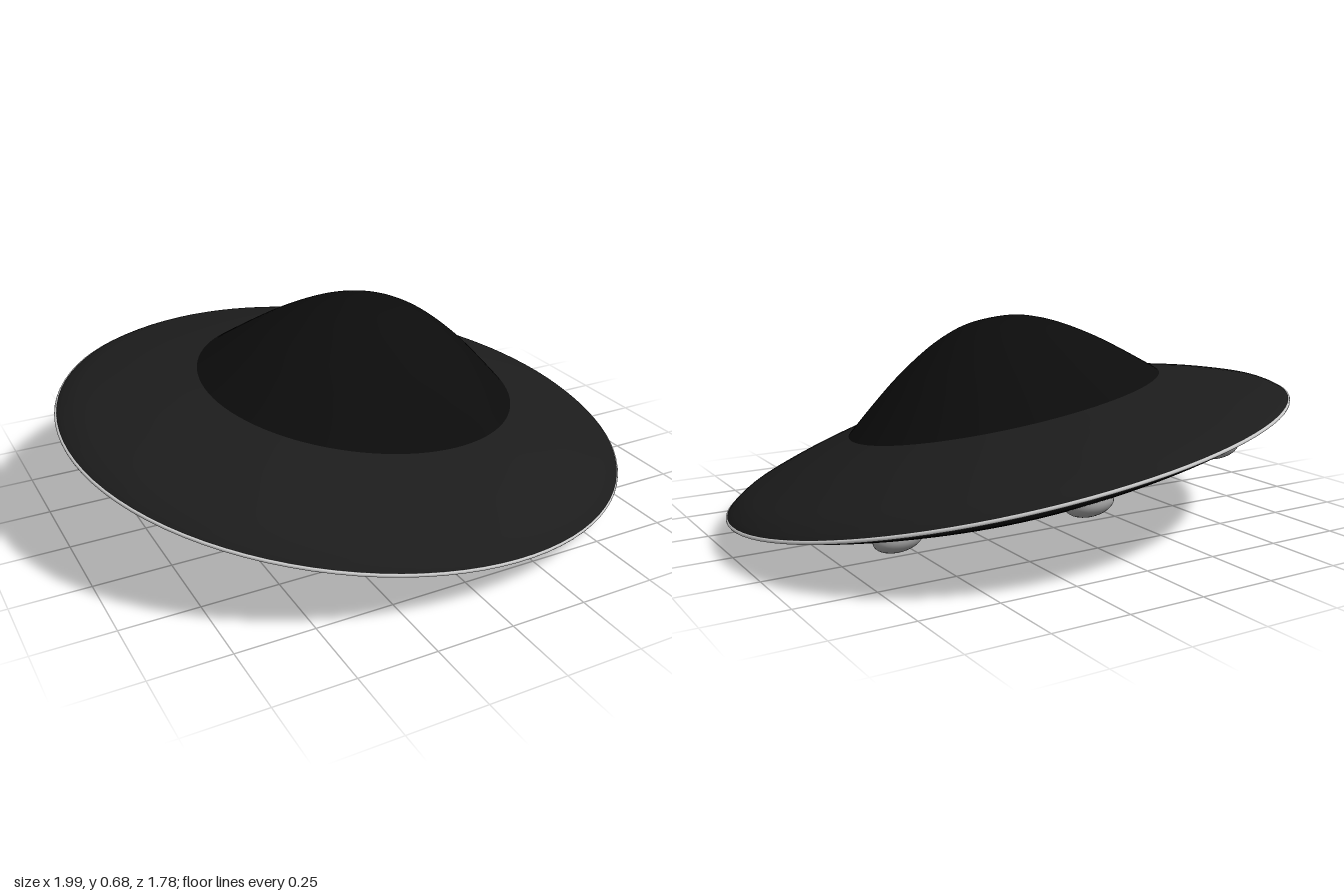
import * as THREE from 'three';

const SEGMENTS = 96;
const paint = (color) => new THREE.MeshStandardMaterial({ color, side: THREE.DoubleSide });

// Revolve a profile (listed bottom to top); smooth profiles pass through a spline.
function revolve(name, profile, material, smooth = true) {
  let points = profile.map(([r, h]) => new THREE.Vector2(r, h));
  if (smooth) {
    points = new THREE.SplineCurve(points).getPoints(28);
    points.forEach((p) => { p.x = Math.max(p.x, 0); });
  }
  const mesh = new THREE.Mesh(new THREE.LatheGeometry(points, SEGMENTS), material);
  mesh.name = name;
  return mesh;
}

export function createModel() {
  const model = new THREE.Group();
  model.name = 'flyingSaucer';
  const saucer = new THREE.Group();
  saucer.name = 'saucer';
  model.add(saucer);

  const dark = paint(0x0c0c0c);
  const brimPaint = paint(0x1c1c1c);
  const rimPaint = paint(0xcccccc);
  const lampPaint = paint(0x999999);

  // Bell-shaped dome
  saucer.add(revolve('dome', [
    [0.565, 0.153], [0.45, 0.244], [0.355, 0.313], [0.25, 0.376],
    [0.165, 0.414], [0.09, 0.435], [0, 0.442],
  ], dark));

  // Upper brim
  saucer.add(revolve('brim', [
    [1.008, 0.004], [0.985, 0.022], [0.93, 0.05], [0.8, 0.093], [0.68, 0.126], [0.56, 0.155],
  ], brimPaint));

  // Shallow lower hull with a recessed round hatch
  saucer.add(revolve('lowerHull', [
    [0.425, -0.157], [0.55, -0.133], [0.7, -0.098], [0.85, -0.057], [0.95, -0.026], [1.008, -0.004],
  ], dark));
  saucer.add(revolve('hatchWall', [[0.395, -0.125], [0.425, -0.157]], dark, false));
  saucer.add(revolve('hatchFloor', [[0, -0.125], [0.395, -0.125]], dark, false));

  // Bright edge strip
  const rim = new THREE.Mesh(new THREE.TorusGeometry(1.006, 0.006, 8, SEGMENTS), rimPaint);
  rim.name = 'rimStrip';
  rim.rotation.x = Math.PI / 2;
  saucer.add(rim);

  // Ring of eight flattened lamps under the brim
  const lampGeometry = new THREE.SphereGeometry(0.077, 32, 20).scale(1, 0.5, 1);
  for (let i = 0; i < 8; i++) {
    const angle = ((i + 0.5) * Math.PI) / 4;
    const lamp = new THREE.Mesh(lampGeometry, lampPaint);
    lamp.name = 'lamp';
    lamp.position.set(0.775 * Math.cos(angle), -0.07, 0.775 * Math.sin(angle));
    saucer.add(lamp);
  }

  // Oval plan, banked towards the front left
  const up = new THREE.Vector3(0.15, 1, 0.115).normalize();
  const along = new THREE.Vector3(0.98, -0.124, -0.2).normalize();
  const across = new THREE.Vector3().crossVectors(along, up).normalize();
  along.crossVectors(up, across);
  saucer.quaternion.setFromRotationMatrix(new THREE.Matrix4().makeBasis(along, up, across));
  saucer.scale.set(1, 1, 0.882);
  saucer.position.y = 0.235;
  return model;
}
